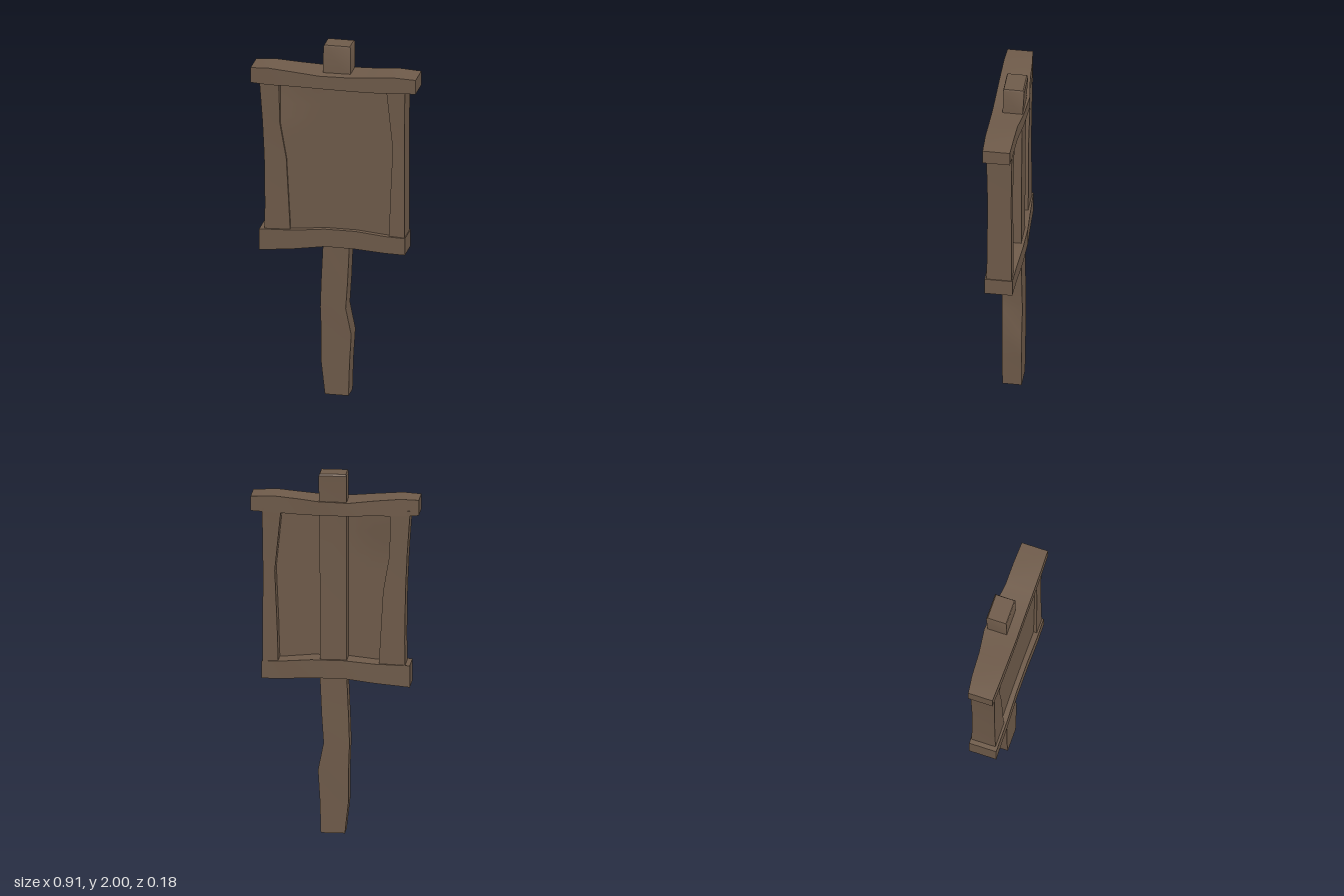
import * as THREE from 'three';
import { toCreasedNormals } from 'three/addons/utils/BufferGeometryUtils.js';

// Hewn timber lofted through rectangular sections.
// upright: [y, x0, x1, z0, z1]   level: [x, y0, y1, z0, z1]
function timber(sections, upright) {
  const pos = [], index = [];
  const place = (t, a, b) => (upright ? pos.push(a, t, b) : pos.push(t, a, b));
  for (const [t, a0, a1, b0, b1] of sections) {
    place(t, a0, b0); place(t, a1, b0); place(t, a1, b1); place(t, a0, b1);
  }
  const quad = (a, b, c, d) => (upright
    ? index.push(a, c, b, a, d, c)
    : index.push(a, b, c, a, c, d));
  for (let s = 0; s < sections.length - 1; s++) {
    for (let k = 0; k < 4; k++) {
      const n = (k + 1) % 4, o = s * 4;
      quad(o + k, o + n, o + 4 + n, o + 4 + k);
    }
  }
  const e = (sections.length - 1) * 4;
  quad(3, 2, 1, 0);
  quad(e, e + 1, e + 2, e + 3);
  const g = new THREE.BufferGeometry();
  g.setAttribute('position', new THREE.Float32BufferAttribute(pos, 3));
  g.setIndex(index);
  return toCreasedNormals(g, 0.6);
}

export function createModel() {
  const model = new THREE.Group();
  model.name = 'woodenSign';
  const wood = new THREE.MeshStandardMaterial({ color: 0x6f5b4a });
  wood.name = 'weathered wood';

  const add = (name, geometry) => {
    const mesh = new THREE.Mesh(geometry, wood);
    mesh.name = name;
    model.add(mesh);
  };

  // Crooked post running from the ground to above the board
  add('post', timber([
    [0, -0.06, 0.07, -0.07, 0.035],
    [0.18, -0.08, 0.075, -0.07, 0.036],
    [0.35, -0.08, 0.085, -0.072, 0.036],
    [0.5, -0.085, 0.055, -0.072, 0.038],
    [0.65, -0.08, 0.065, -0.07, 0.038],
    [0.87, -0.07, 0.075, -0.068, 0.035],
    [1.4, -0.07, 0.075, -0.07, 0.035],
    [1.82, -0.07, 0.08, -0.075, 0.032],
    [1.99, -0.07, 0.08, -0.085, 0.03],
    [2, -0.066, 0.075, -0.078, 0.026],
  ], true));

  // Horizontal rails
  add('topRail', timber([
    [-0.458, 1.775, 1.86, -0.055, 0.083],
    [-0.36, 1.77, 1.866, -0.067, 0.087],
    [-0.22, 1.772, 1.855, -0.075, 0.089],
    [-0.08, 1.77, 1.843, -0.093, 0.09],
    [0.08, 1.768, 1.845, -0.083, 0.089],
    [0.2, 1.768, 1.855, -0.067, 0.09],
    [0.32, 1.775, 1.866, -0.065, 0.091],
    [0.45, 1.78, 1.86, -0.06, 0.088],
  ], false));
  add('bottomRail', timber([
    [-0.41, 0.82, 0.94, -0.065, 0.088],
    [-0.22, 0.84, 0.947, -0.075, 0.088],
    [-0.05, 0.865, 0.965, -0.086, 0.084],
    [0.12, 0.863, 0.965, -0.083, 0.084],
    [0.28, 0.853, 0.95, -0.07, 0.087],
    [0.39, 0.85, 0.945, -0.065, 0.085],
  ], false));

  // Side stiles
  add('rightStile', timber([
    [0.9, -0.385, -0.24, -0.06, 0.076],
    [1.08, -0.382, -0.25, -0.06, 0.072],
    [1.35, -0.386, -0.265, -0.058, 0.07],
    [1.55, -0.395, -0.3, -0.06, 0.072],
    [1.8, -0.412, -0.305, -0.063, 0.078],
  ], true));
  add('leftStile', timber([
    [0.9, 0.3, 0.386, -0.06, 0.076],
    [1.15, 0.307, 0.385, -0.06, 0.073],
    [1.45, 0.32, 0.384, -0.058, 0.07],
    [1.65, 0.3, 0.386, -0.06, 0.074],
    [1.8, 0.285, 0.39, -0.063, 0.078],
  ], true));

  // Gently warped board set behind the front of the frame
  const board = new THREE.BoxGeometry(0.66, 0.88, 0.025, 12, 12, 1);
  const p = board.attributes.position;
  for (let i = 0; i < p.count; i++) {
    const x = p.getX(i), y = p.getY(i);
    const corner = Math.max(0, 1 - Math.hypot(x + 0.31, y - 0.42) / 0.25);
    p.setZ(i, p.getZ(i) + 0.045 - 0.025 * corner);
  }
  board.translate(0.01, 1.365, 0);
  add('board', toCreasedNormals(board, 0.6));

  return model;
}
